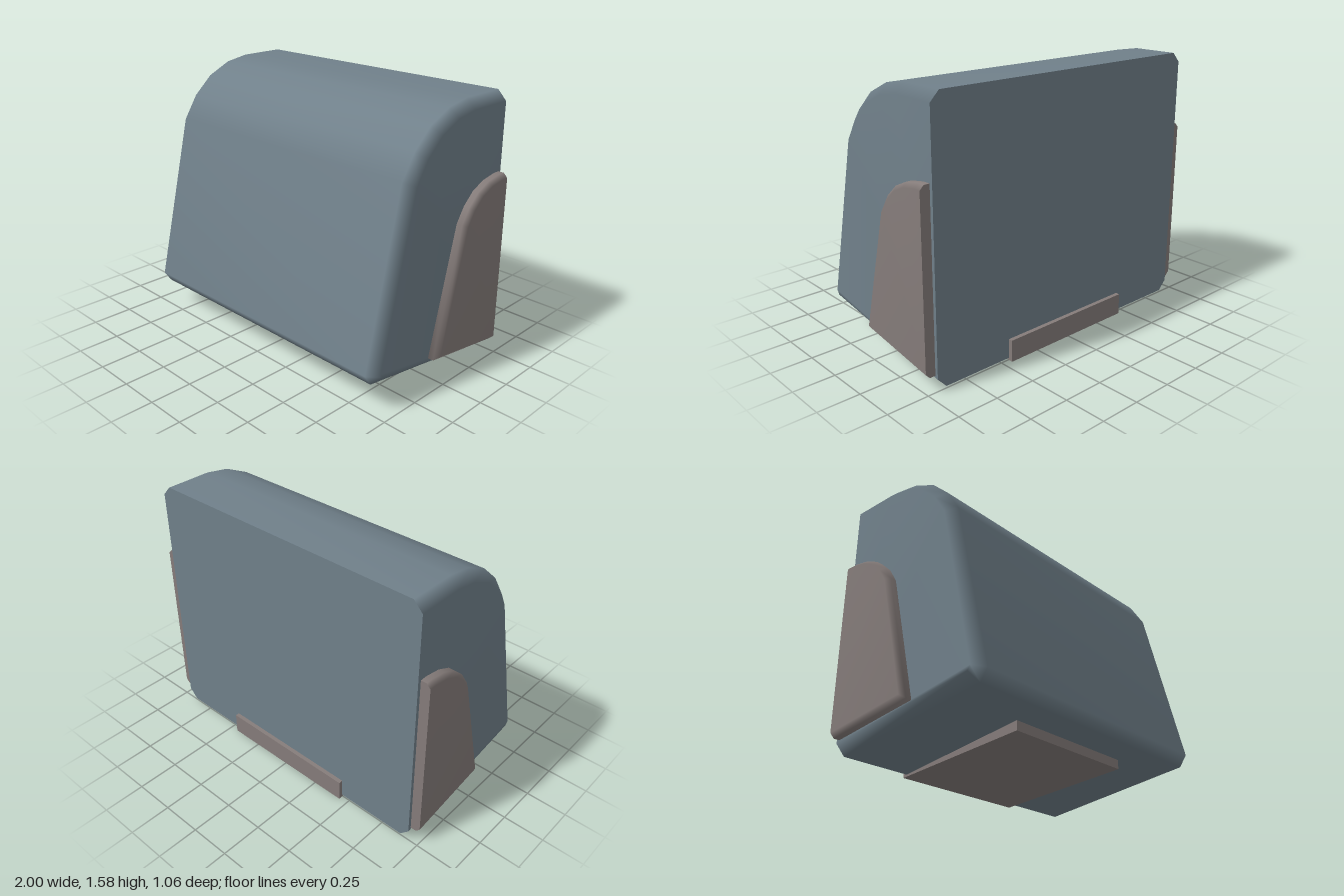
import * as THREE from 'three';

// Shrinks a convex [z, y] profile by d on every edge but the last (the flat back)
function inset(profile, d) {
  const n = profile.length;
  const lines = profile.map(([z, y], i) => {
    const [z2, y2] = profile[(i + 1) % n];
    const len = Math.hypot(z2 - z, y2 - y);
    const nz = -(y2 - y) / len, ny = (z2 - z) / len;
    return [nz, ny, nz * z + ny * y + (i === n - 1 ? 0 : d)];
  });
  return profile.map((_, i) => {
    const [a, b, c] = lines[(i + n - 1) % n];
    const [e, f, g] = lines[i];
    const det = a * f - b * e;
    return [(c * f - b * g) / det, (a * g - c * e) / det];
  });
}

// Lofts a profile along x through rings of [x, inset]; the back keeps a hard edge
function loft(profile, rings) {
  const n = profile.length, cols = n + 2, pos = [], idx = [];
  for (const [x, d] of rings) {
    const ring = inset(profile, d);
    for (const [z, y] of [...ring, ring[n - 1], ring[0]]) pos.push(x, y, z);
  }
  for (let i = 0; i < rings.length - 1; i++) {
    for (let j = 0; j <= n; j++) {
      if (j === n - 1) continue;
      const a = i * cols + j, c = a + cols;
      idx.push(a, c, a + 1, a + 1, c, c + 1);
    }
  }
  const last = (rings.length - 1) * cols;
  for (let k = 1; k < n - 1; k++) {
    idx.push(0, k, k + 1, last, last + k + 1, last + k);
  }
  const geo = new THREE.BufferGeometry();
  geo.setAttribute('position', new THREE.Float32BufferAttribute(pos, 3));
  geo.setIndex(idx);
  geo.computeVertexNormals();
  return geo;
}

export function createModel() {
  const group = new THREE.Group();
  const bodyMat = new THREE.MeshStandardMaterial({ color: 0x70808a });
  const panelMat = new THREE.MeshStandardMaterial({ color: 0x857c7a });
  const footMat = new THREE.MeshStandardMaterial({ color: 0x857c7a, flatShading: true });
  const add = (name, geo, mat) => {
    const mesh = new THREE.Mesh(geo, mat);
    mesh.name = name;
    group.add(mesh);
  };

  // Main housing: sloped front, rounded top, bevelled ends
  const bodyProfile = [
    [-0.505, 0.015], [0.485, 0.168], [0.53, 0.235], [0.29, 1.23], [0.2, 1.37],
    [0.08, 1.48], [-0.07, 1.55], [-0.22, 1.575], [-0.505, 1.575],
  ];
  add('housing', loft(bodyProfile, [[-0.94, 0.057], [-0.885, 0], [0.885, 0], [0.94, 0.057]]), bodyMat);

  // Side panels repeating the housing outline
  const panelProfile = [
    [-0.485, 0.088], [0.07, 0.172], [-0.12, 0.915], [-0.175, 1.0],
    [-0.25, 1.068], [-0.34, 1.108], [-0.44, 1.125], [-0.485, 1.125],
  ];
  const panelRings = [[0.9, 0], [0.92, 0], [0.975, 0], [1, 0.025]];
  add('leftPanel', loft(panelProfile, panelRings), panelMat);
  add('rightPanel', loft(panelProfile, panelRings.map(([x, d]) => [-x, d]).reverse()), panelMat);

  // Base plate under the housing, showing slightly at the back
  const footProfile = [[-0.53, 0.0], [0.325, 0.088], [0.325, 0.143], [-0.53, 0.13]];
  add('basePlate', loft(footProfile, [[-0.448, 0], [0.448, 0]]), footMat);

  return group;
}
